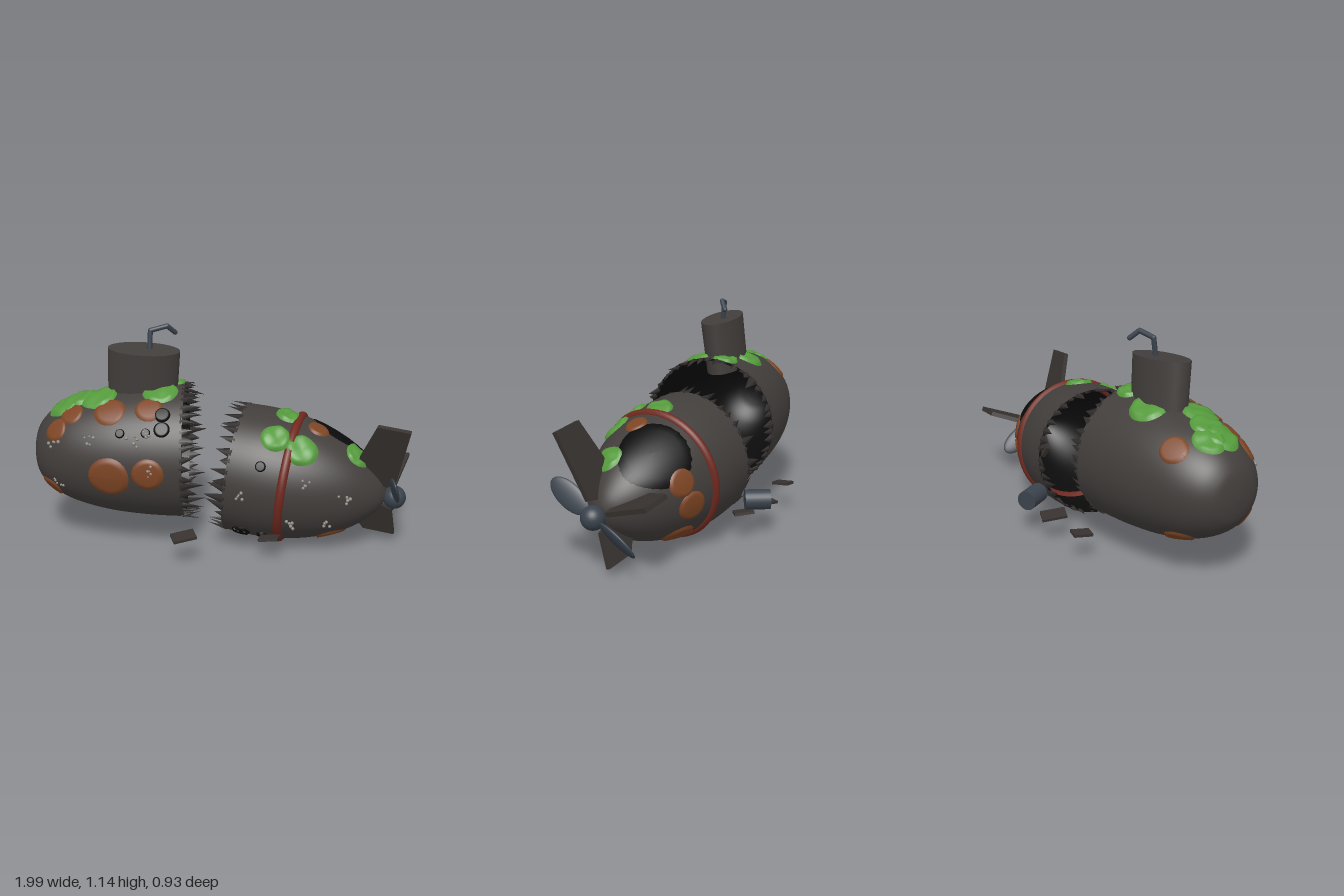
import * as THREE from 'three';

const mat = (color, side = THREE.FrontSide) =>
  new THREE.MeshStandardMaterial({ color, side, roughness: 0.9 });
const M = {
  hull: mat(0x423e3c), inner: mat(0x0c0b0b, THREE.DoubleSide), shard: mat(0x34302f),
  rust: mat(0x7d4524), moss: mat(0x559a3c), band: mat(0x70291f), steel: mat(0x3a424c),
  hole: mat(0x0b0b0b), barnacle: mat(0x8a8880), plate: mat(0x37322f),
};
const rad = THREE.MathUtils.degToRad;

let seed = 7;
const rnd = () => (seed = (seed * 16807) % 2147483647) / 2147483647;

function add(parent, name, geometry, material, pos = [0, 0, 0], rot = [0, 0, 0]) {
  const m = new THREE.Mesh(geometry, material);
  m.name = name;
  m.position.set(...pos);
  m.rotation.set(...rot);
  parent.add(m);
  return m;
}

// Smooth profile along x: sampled points plus a radius lookup
function makeProfile(pts) {
  const samples = new THREE.SplineCurve(pts.map(p => new THREE.Vector2(...p))).getPoints(48);
  samples.forEach(p => { p.y = Math.max(p.y, 0); });
  const x0 = samples[0].x, x1 = samples[48].x;
  const radius = x => {
    const c = THREE.MathUtils.clamp(x, x0, x1);
    let i = 0;
    while (i < 47 && samples[i + 1].x < c) i++;
    const a = samples[i], b = samples[i + 1];
    return a.y + (b.y - a.y) * THREE.MathUtils.clamp((c - a.x) / (b.x - a.x || 1), 0, 1);
  };
  return { samples, radius, x0, x1 };
}

// Open hull half: outer skin, dark inner skin and a rim at the break
function hullHalf(group, p, breakX) {
  const lathe = inset => new THREE.LatheGeometry(
    p.samples.map(s => new THREE.Vector2(Math.max(s.y - inset, 0), s.x)), 64).rotateZ(-Math.PI / 2);
  add(group, 'hull', lathe(0), M.hull);
  add(group, 'hullInside', lathe(0.012), M.inner);
  const r = p.radius(breakX);
  add(group, 'breakRim', new THREE.RingGeometry(r - 0.012, r, 64).rotateY(Math.PI / 2), M.inner, [breakX, 0, 0]);
}

// Torn metal spikes around the break, pointing along dir
function spikes(group, p, breakX, dir, count) {
  const r = p.radius(breakX) - 0.006;
  for (let i = 0; i < count; i++) {
    const h = 0.05 + rnd() * 0.065;
    const geo = new THREE.ConeGeometry(0.02 + rnd() * 0.012, h, 4)
      .scale(1, 1, 0.35).translate(0, h / 2 - 0.012, 0)
      .rotateX(Math.PI / 2 + (rnd() - 0.4) * 0.5)   // along +z, flat side facing y
      .rotateY(dir * Math.PI / 2 + (rnd() - 0.5) * 0.4)
      .translate(breakX, r, 0);
    add(group, 'tornSpike', geo, M.shard, [0, 0, 0], [(i + rnd() * 0.5) / count * Math.PI * 2, 0, 0]);
  }
}

// Thin round patch wrapped on the hull at x and angle (0 = up, 90 = +z)
function patch(group, p, name, material, x, deg, size, h = 0.01, around = 1, lumps = 0) {
  const geo = new THREE.RingGeometry(0, 1, 28, 6);
  const pos = geo.attributes.position;
  const slope = (p.radius(x + 0.01) - p.radius(x - 0.01)) / 0.02;
  const along = size / Math.hypot(1, slope), r0 = Math.max(p.radius(x), 0.05);
  for (let i = 0; i < pos.count; i++) {
    const a = pos.getX(i), b = pos.getY(i), q = Math.hypot(a, b);
    const px = THREE.MathUtils.clamp(x - a * along, p.x0, p.x1);
    const phi = rad(deg) + b * size * around / r0;
    const lift = q > 0.99 ? -0.003 : h * (1 + lumps * Math.sin(5 * a + deg) * Math.cos(4 * b));
    const r = p.radius(px) + lift;
    pos.setXYZ(i, px, r * Math.cos(phi), r * Math.sin(phi));
  }
  geo.computeVertexNormals();
  add(group, name, geo, material);
}

// Little cluster of barnacles
function barnacles(group, p, x, deg) {
  for (let i = 0; i < 5; i++) {
    const bx = x + (rnd() - 0.5) * 0.06, a = rad(deg) + (rnd() - 0.5) * 0.2, r = p.radius(bx) + 0.004;
    add(group, 'barnacle', new THREE.SphereGeometry(0.006 + rnd() * 0.004, 8, 6), M.barnacle,
      [bx, r * Math.cos(a), r * Math.sin(a)]);
  }
}

function decorate(group, p, { rust, moss, holes, shells }) {
  rust.forEach(([x, a, s]) => patch(group, p, 'rustPatch', M.rust, x, a, s, 0.009));
  moss.forEach(([x, a, s]) => patch(group, p, 'mossPatch', M.moss, x, a, s, 0.014, 1, 0.4));
  holes.forEach(([x, a, s]) => patch(group, p, 'darkHole', M.hole, x, a, s, 0.011));
  shells.forEach(([x, a]) => barnacles(group, p, x, a));
}

function bowHalf() {
  const g = new THREE.Group();
  g.name = 'bowHalf';
  g.position.set(0, 0.465, 0);
  const p = makeProfile([[-1, 0], [-0.99, 0.08], [-0.965, 0.145], [-0.9, 0.212], [-0.78, 0.275],
    [-0.6, 0.322], [-0.4, 0.346], [-0.21, 0.354]]);
  hullHalf(g, p, -0.21);
  spikes(g, p, -0.21, 1, 46);
  decorate(g, p, {
    rust: [[-0.58, 98, 0.11], [-0.38, 93, 0.085], [-0.86, 48, 0.065], [-0.9, 140, 0.07], [-0.58, 36, 0.085],
      [-0.78, 32, 0.065], [-0.38, 36, 0.075], [-0.75, -42, 0.075], [-0.75, -150, 0.08]],
    moss: [[-0.83, -10, 0.085], [-0.83, 9, 0.095], [-0.75, 4, 0.09], [-0.65, 13, 0.1],
      [-0.47, -19, 0.1], [-0.33, 15, 0.095], [-0.27, -10, 0.07]],
    holes: [[-0.31, 42, 0.042], [-0.31, 55, 0.042], [-0.52, 58, 0.025], [-0.39, 58, 0.025]],
    shells: [[-0.87, 68], [-0.67, 62], [-0.4, 57], [-0.46, 64], [-0.38, 90], [-0.85, 115]],
  });
  // Oval tower with a bent periscope
  add(g, 'tower', new THREE.CylinderGeometry(1, 0.97, 0.28, 48).scale(0.185, 1, 0.102), M.hull,
    [-0.425, 0.405, 0], [0.1, 0, -0.06]);
  const pts = [[-0.39, 0.53, 0], [-0.385, 0.635, -0.012], [-0.3, 0.655, -0.03], [-0.262, 0.615, -0.06]]
    .map(v => new THREE.Vector3(...v));
  pts.slice(1).forEach((b, i) => {
    add(g, 'periscope', new THREE.TubeGeometry(new THREE.LineCurve3(pts[i], b), 1, 0.013, 12), M.steel);
    add(g, 'periscopeJoint', new THREE.SphereGeometry(0.013, 12, 8), M.steel, b.toArray());
  });
  return g;
}

function sternHalf() {
  const g = new THREE.Group();
  g.name = 'sternHalf';
  g.position.set(0.065, 0.37, -0.01);
  g.rotation.set(0, -0.21, -0.12, 'YZX');
  const p = makeProfile([[0, 0.338], [0.15, 0.342], [0.3, 0.328], [0.45, 0.29], [0.58, 0.235],
    [0.68, 0.17], [0.75, 0.1], [0.785, 0.04], [0.79, 0]]);
  hullHalf(g, p, 0);
  spikes(g, p, 0, -1, 40);
  add(g, 'band', new THREE.TorusGeometry(p.radius(0.29) - 0.006, 0.024, 10, 64).rotateY(Math.PI / 2), M.band, [0.29, 0, 0]);
  patch(g, p, 'scorchMark', M.hole, 0.51, -32, 0.2, 0.004, 1.05);
  decorate(g, p, {
    rust: [[0.4, 8, 0.06], [0.48, -73, 0.075], [0.44, -100, 0.08], [0.43, -143, 0.09], [0.55, 160, 0.085]],
    moss: [[0.21, 37, 0.08], [0.35, 42, 0.088], [0.24, 3, 0.075], [0.62, 14, 0.075]],
    holes: [[0.17, 65, 0.028], [0.1, 140, 0.05], [0.21, 140, 0.028]],
    shells: [[0.1, 95], [0.6, 85], [0.35, 118], [0.52, 120], [0.1, 135], [0.4, 75]],
  });
  // Three surviving tail fins: angle and reach
  [[20, 0.44], [-70, 0.36], [200, 0.25]].forEach(([deg, reach]) => {
    const s = new THREE.Shape([[0.6, 0.12], [0.70, reach], [0.865, reach], [0.83, 0.08], [0.72, 0.05]]
      .map(v => new THREE.Vector2(...v)));
    const geo = new THREE.ExtrudeGeometry(s, { depth: 0.024, bevelEnabled: false }).translate(0, 0, -0.012);
    add(g, 'tailFin', geo, M.plate, [0, 0, 0], [rad(deg), 0, 0]);
  });
  // Propeller
  add(g, 'shaft', new THREE.CylinderGeometry(0.03, 0.03, 0.1, 16).rotateZ(Math.PI / 2), M.steel, [0.79, 0, 0]);
  add(g, 'propellerHub', new THREE.SphereGeometry(0.06, 24, 16), M.steel, [0.835, 0, 0]);
  [56, 236].forEach(deg => {
    const geo = new THREE.SphereGeometry(1, 24, 16).scale(0.016, 0.12, 0.06).rotateY(0.5).translate(0, 0.155, 0);
    add(g, 'propellerBlade', geo, M.steel, [0.835, 0, 0], [rad(deg), 0, 0]);
  });
  return g;
}

function debris() {
  const g = new THREE.Group();
  g.name = 'debris';
  // Plates: x, y, z, width, depth, turn
  [[-0.3, 0.14, -0.39, 0.065, 0.1, -0.25], [-0.03, 0.135, -0.37, 0.085, 0.13, -0.45],
    [-0.2, 0.14, 0.4, 0.12, 0.085, 0.3], [0.23, 0.11, 0.34, 0.1, 0.08, -0.2],
    [0.2, 0.135, -0.34, 0.09, 0.1, 0.5]].forEach(([x, y, z, w, d, turn], i) =>
    add(g, 'hullPlate', new THREE.BoxGeometry(w, 0.014, d), M.plate, [x, y, z], [i % 2 ? -0.12 : 0.12, turn, 0.1]));
  add(g, 'loosePipe', new THREE.CylinderGeometry(0.052, 0.052, 0.13, 24).rotateX(Math.PI / 2), M.steel,
    [0.13, 0.187, -0.39], [0, 0.45, 0]);
  return g;
}

export function createModel() {
  const model = new THREE.Group();
  model.name = 'brokenSubmarine';
  model.add(bowHalf(), sternHalf(), debris());
  return model;
}
